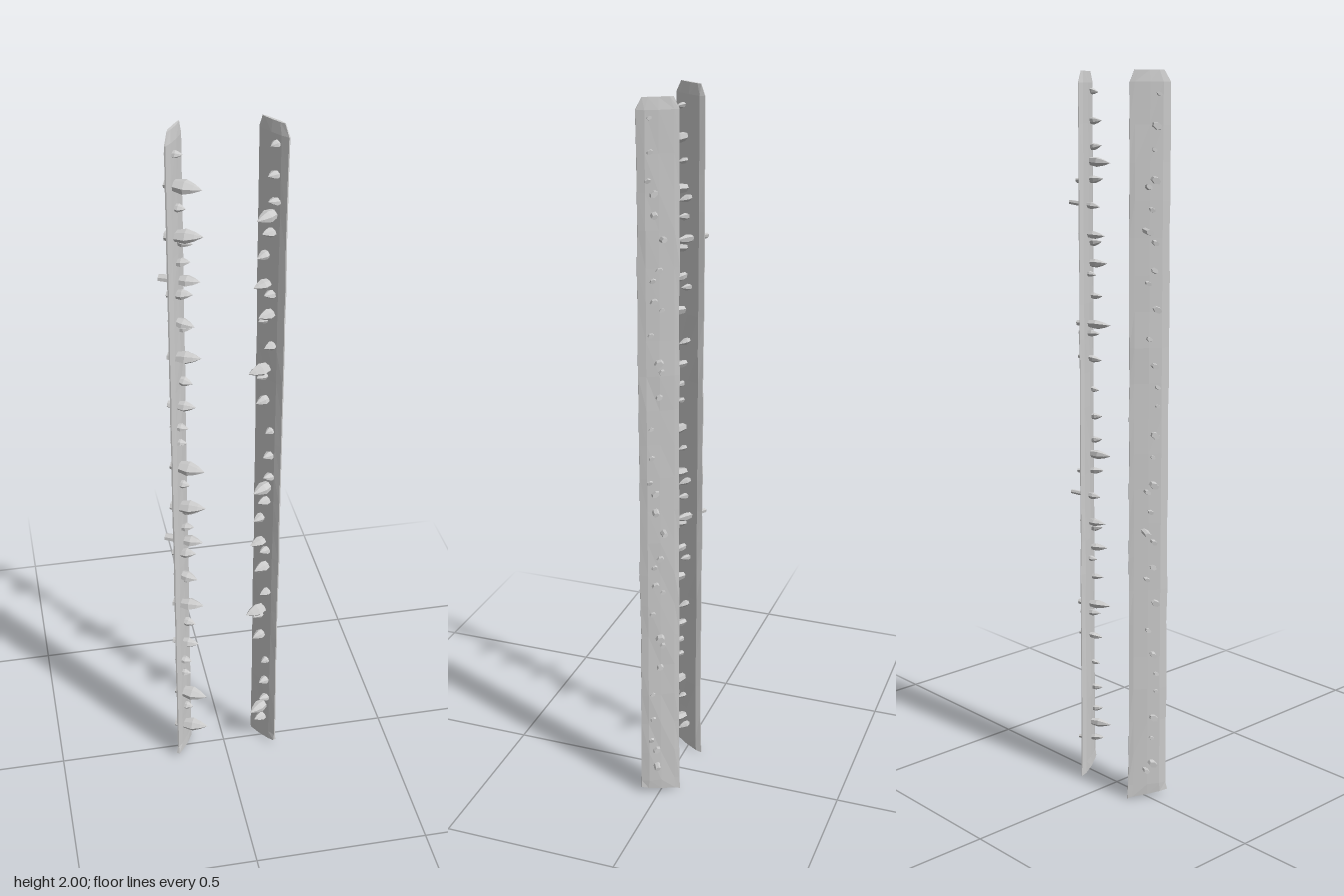
import * as THREE from 'three';

const material = new THREE.MeshStandardMaterial({ color: 0xcccccc, flatShading: true, side: THREE.DoubleSide });

// Small repeatable noise in -1..1
const noise = (n) => { const v = Math.sin(n * 127.1 + 3.7) * 43758.5453; return (v - Math.floor(v)) * 2 - 1; };

// Blade cross-section: [z, x, half thickness], a slanted, slightly curved lens
const section = [[-0.047, 0.098, 0.001], [-0.034, 0.102, 0.006], [0, 0.122, 0.008], [0.03, 0.14, 0.007], [0.048, 0.15, 0.002]];

const centreX = (z) => {
  let i = 0;
  while (i < section.length - 2 && z > section[i + 1][0]) i++;
  const [a, b] = [section[i], section[i + 1]];
  return THREE.MathUtils.lerp(a[1], b[1], (z - a[0]) / (b[0] - a[0]));
};

// One blade lofted from closed rings, with chamfered top and flared foot
function blade(side) {
  const rows = 22, pos = [], idx = [], n = section.length;
  const ringSize = n * 2;
  for (let j = 0; j <= rows; j++) {
    const y = j === 0 ? 0.012 : j === rows ? 2 : j === rows - 1 ? 1.97 : 0.04 + (j - 1) * 0.096;
    const narrow = j === rows ? 0.72 : 1, flare = j === 0 ? 1.07 : 1;
    for (let k = 0; k < ringSize; k++) {
      const i = k < n ? k : ringSize - 1 - k, face = k < n ? -1 : 1;
      const [z, , t] = section[i];
      const zz = z * narrow * flare + (i === 0 || i === n - 1 ? noise(j * 7 + i + side) * 0.0015 : 0);
      const foot = j === 0 && i === n - 1 ? 2.5 : 1;
      const thick = t * foot * (j === rows ? 0.5 : 1) * (1 + noise(j * 13 + k) * 0.15);
      const drop = j === 0 ? -0.012 * (1 - i / (n - 1)) + 0.006 * (i / (n - 1)) : 0;
      pos.push(side * (centreX(zz) + face * thick * 0.88), y + drop, zz - face * thick * 0.47);
    }
  }
  const tri = (a, b, c) => (side > 0 ? idx.push(a, b, c) : idx.push(a, c, b));
  for (let j = 0; j < rows; j++) for (let k = 0; k < ringSize; k++) {
    const a = j * ringSize + k, b = j * ringSize + (k + 1) % ringSize;
    tri(a, a + ringSize, b);
    tri(b, a + ringSize, b + ringSize);
  }
  // End caps
  const top = rows * ringSize;
  for (let k = 0; k < n - 1; k++) {
    const m = ringSize - 1 - k;
    tri(k, k + 1, m); tri(k + 1, m - 1, m);
    tri(top + k, top + m, top + k + 1); tri(top + k + 1, top + m, top + m - 1);
  }
  const g = new THREE.BufferGeometry();
  g.setAttribute('position', new THREE.Float32BufferAttribute(pos, 3));
  g.setIndex(idx);
  g.computeVertexNormals();
  const mesh = new THREE.Mesh(g, material);
  mesh.name = 'blade';
  return mesh;
}

// Faceted crystal piercing the blade: flat stub behind, pointed head in front
function crystal(side, y, z, length, stub, seed) {
  const r = 0.005 + length * 0.16;
  const profile = [[0, -stub], [r * 0.6, -stub], [r * 0.7, 0], [r, length * 0.42], [r * 0.6, length * 0.72], [0, length]]
    .map(([a, b]) => new THREE.Vector2(a, b));
  const g = new THREE.LatheGeometry(profile, 6, noise(seed) * 0.5);
  g.scale(0.8, 1, 1.2);
  const mesh = new THREE.Mesh(g, material);
  const dir = new THREE.Vector3(-0.88 * side, noise(seed + 5) * 0.16, 0.47 + noise(seed + 9) * 0.08).normalize();
  mesh.quaternion.setFromUnitVectors(new THREE.Vector3(0, 1, 0), dir);
  mesh.position.set(side * centreX(z), y, z);
  mesh.name = 'crystal';
  return mesh;
}

// Crystals within one repeat of the pattern: [y, z, head length, stub length]
const patterns = {
  left: [[1.95, 0.02, 0.03, 0.014], [1.87, 0.02, 0.038, 0.016], [1.8, 0.024, 0.038, 0.014], [1.765, 0.012, 0.065, 0.02],
    [1.715, 0.012, 0.045, 0.032], [1.65, -0.006, 0.042, 0.045], [1.57, 0, 0.055, 0.02], [1.545, 0.015, 0.04, 0.014],
    [1.49, 0.013, 0.055, 0.02], [1.465, -0.006, 0.032, 0.016], [1.4, 0.02, 0.04, 0.016], [1.325, 0.002, 0.07, 0.028],
    [1.3, -0.004, 0.04, 0.02], [1.23, 0.002, 0.045, 0.025]],
  right: [[1.94, 0.02, 0.032, 0.014], [1.86, 0.015, 0.08, 0.018], [1.8, 0.01, 0.034, 0.014], [1.725, 0.012, 0.08, 0.022],
    [1.705, -0.004, 0.045, 0.03], [1.65, 0.005, 0.042, 0.016], [1.595, -0.008, 0.062, 0.05], [1.565, 0.012, 0.05, 0.02],
    [1.49, 0.012, 0.055, 0.016], [1.46, -0.004, 0.04, 0.018], [1.39, 0.018, 0.075, 0.018], [1.31, 0, 0.042, 0.02],
    [1.24, 0.012, 0.055, 0.024], [1.18, 0.02, 0.036, 0.014]],
};

export function createModel() {
  const model = new THREE.Group();
  model.name = 'crystalStrips';
  for (const [name, side] of [['left', 1], ['right', -1]]) {
    const strip = new THREE.Group();
    strip.name = name + 'Strip';
    strip.add(blade(side));
    patterns[name].forEach(([y, z, length, stub], i) => {
      for (let k = 0; k < 3; k++) {
        const height = y - k * 0.81;
        if (height > 0.03) strip.add(crystal(side, height, z, length, stub, i * 3 + side));
      }
    });
    model.add(strip);
  }
  return model;
}
